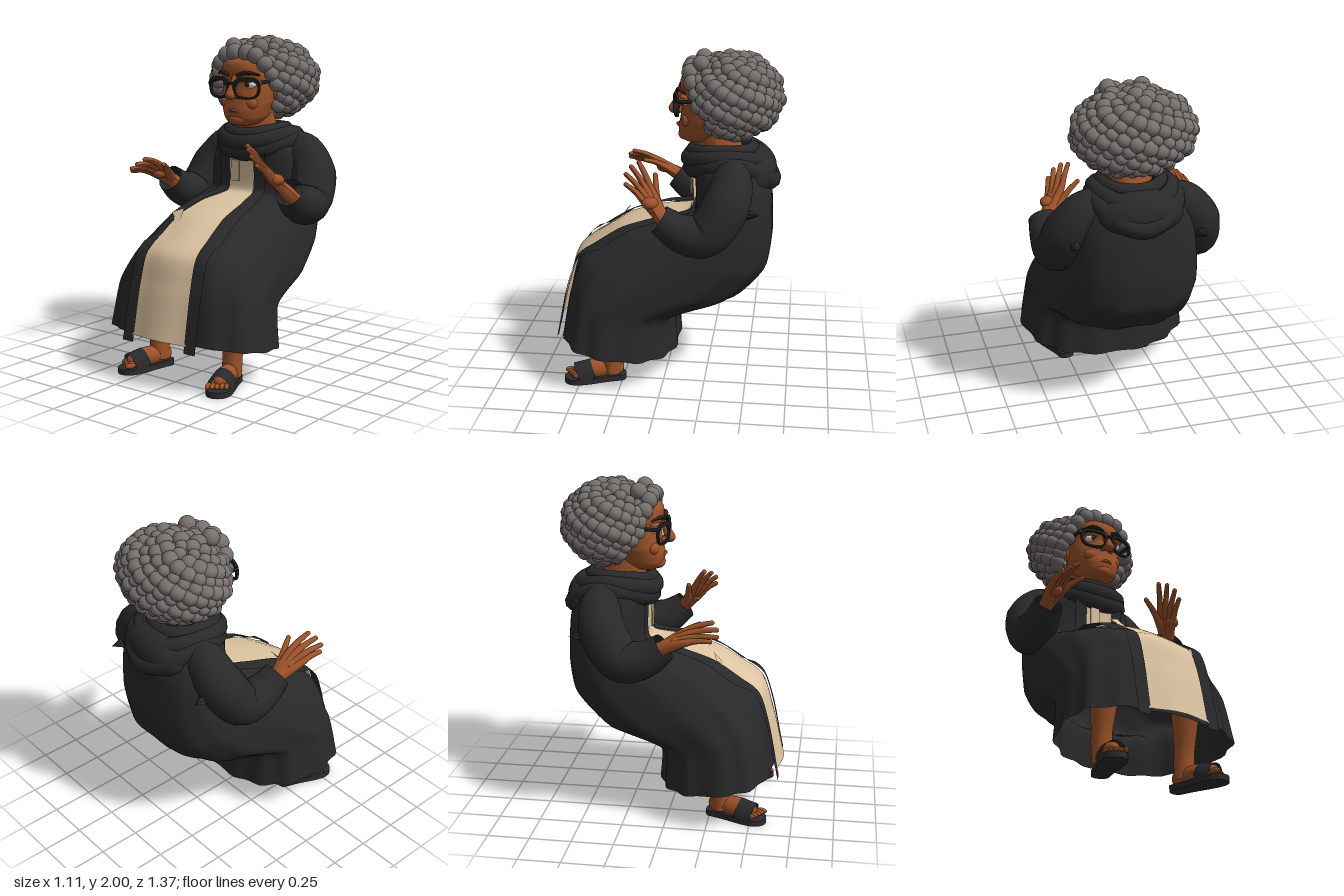
import * as THREE from 'three';

const V = (x, y, z) => new THREE.Vector3(x, y, z);
const mat = (name, color, double) => {
  const m = new THREE.MeshStandardMaterial({ color });
  m.name = name;
  if (double) m.side = THREE.DoubleSide;
  return m;
};

// Point on a lofted body: each section is [frontZ, frontY, backZ, backY, halfWidth, widthBias]
function loftSurface(sections, n, ripple = 0) {
  const curve = f => new THREE.CatmullRomCurve3(sections.map(f), false, 'catmullrom', 0.3);
  const front = curve(s => V(0, s[1], s[0])), back = curve(s => V(0, s[3], s[2]));
  const size = curve(s => V(s[4], s[5] || 0, 0));
  const pw = v => Math.sign(v) * Math.pow(Math.abs(v), 2 / n);
  return (u, t) => {
    const f = front.getPoint(u), b = back.getPoint(u), w = size.getPoint(u);
    const fold = 1 + ripple * Math.pow(1 - u, 2) * Math.cos(13 * t);
    const p = f.clone().add(b).multiplyScalar(0.5);
    p.addScaledVector(f.sub(b), 0.5 * fold * pw(Math.cos(t)));
    p.x = w.x * fold * pw(Math.sin(t)) * (1 + w.y * Math.cos(t));
    return p;
  };
}

// Grid of points turned into an indexed surface
function gridGeometry(rows, cols, fn, wrap) {
  const pos = [], idx = [], n = wrap ? cols : cols + 1;
  for (let j = 0; j <= rows; j++) for (let i = 0; i < n; i++) pos.push(...fn(j / rows, i / cols).toArray());
  for (let j = 0; j < rows; j++) for (let i = 0; i < cols; i++) {
    const a = j * n + i, b = j * n + (i + 1) % n;
    idx.push(a, b, b + n, a, b + n, a + n);
  }
  const g = new THREE.BufferGeometry();
  g.setAttribute('position', new THREE.Float32BufferAttribute(pos, 3));
  g.setIndex(idx);
  g.computeVertexNormals();
  return g;
}

// Tube whose radius follows a list of values along its path
function taperTube(points, radii, segs = 14, sides = 10, closed = false) {
  const curve = new THREE.CatmullRomCurve3(points, closed);
  const g = new THREE.TubeGeometry(curve, segs, 1, sides, closed), p = g.attributes.position;
  for (let i = 0; i < p.count; i++) {
    const u = Math.floor(i / (sides + 1)) / segs, k = u * (radii.length - 1);
    const a = Math.min(Math.floor(k), radii.length - 1), b = Math.min(a + 1, radii.length - 1);
    const r = THREE.MathUtils.lerp(radii[a], radii[b], k - a);
    const c = curve.getPointAt(u), v = V().fromBufferAttribute(p, i).sub(c).multiplyScalar(r).add(c);
    p.setXYZ(i, v.x, v.y, v.z);
  }
  g.computeVertexNormals();
  return g;
}

export function createModel() {
  const root = new THREE.Group();
  root.name = 'seatedWoman';
  const robe = mat('robe black', 0x29292b, true), cloth = mat('dress cream', 0xdcc3a0, true);
  const skin = mat('skin brown', 0x9c5229), hair = mat('hair grey', 0x77716e), lip = mat('lip brown', 0x8a4426);
  const frame = mat('glasses black', 0x1b2024), sandal = mat('sandal black', 0x2c2c30);
  const white = mat('eye white', 0xe4e0da), dark = mat('brow brown', 0x35251f);
  const add = (name, geo, m, parent = root) => {
    const mesh = new THREE.Mesh(geo, m);
    mesh.name = name;
    parent.add(mesh);
    return mesh;
  };
  const ball = (name, m, x, y, z, rx, ry = rx, rz = rx, parent = root, seg = 16) => {
    const b = add(name, new THREE.SphereGeometry(1, seg, Math.ceil(seg * 0.7)), m, parent);
    b.position.set(x, y, z);
    b.scale.set(rx, ry, rz);
    return b;
  };

  // Robe from hem over the knees and lap up to the neck
  const body = loftSurface([
    [0.63, 0.29, -0.07, 0.17, 0.52, 0.16], [0.58, 0.58, -0.08, 0.41, 0.49, 0.12],
    [0.52, 0.76, -0.43, 0.53, 0.46, 0.06], [0.27, 0.93, -0.6, 0.71, 0.42],
    [0.03, 1.0, -0.635, 0.9, 0.39], [-0.16, 1.04, -0.63, 1.08, 0.36],
    [-0.17, 1.2, -0.62, 1.2, 0.34], [-0.16, 1.32, -0.58, 1.34, 0.29], [-0.17, 1.42, -0.48, 1.45, 0.14]], 2.5, 0.025);
  add('robe', gridGeometry(48, 72, (u, t) => body(u, t * Math.PI * 2), true), robe);

  // Strips lying on the robe front: cream dress and the robe's two open edges
  const halfWidths = [0.2, 0.195, 0.19, 0.175, 0.155, 0.1, 0.1, 0.1, 0.1];
  const widthAt = u => {
    const k = u * 8, a = Math.min(7, Math.floor(k));
    return THREE.MathUtils.lerp(halfWidths[a], halfWidths[a + 1], k - a);
  };
  const strip = (x0, x1, top, lift, drop) => gridGeometry(40, 10, (v, i) => {
    const u = v * top, x = widthAt(u) * 1 + 0, px = x0(x) + (x1(x) - x0(x)) * i;
    const s = Math.pow(Math.min(1, Math.abs(px) / (u < 0.3 ? 0.54 : 0.4)), 1.25);
    const p = body(u, Math.sign(px) * Math.asin(s)), hem = Math.max(0, 1 - v * 6);
    return V(px, p.y + lift - hem * drop, p.z + lift + hem * 0.025);
  });
  add('dressPanel', strip(w => -w, w => w, 0.82, 0.014, 0.012), cloth);
  add('robeEdgeLeft', strip(w => w - 0.01, w => w + 0.07, 0.86, 0.022, 0.06), robe);
  add('robeEdgeRight', strip(w => -w - 0.07, w => 0.01 - w, 0.86, 0.022, 0.06), robe);
  const flap = new THREE.Shape([[-0.13, 0], [-0.205, -0.04], [-0.17, -0.07], [-0.16, -0.12], [-0.11, -0.12]].map(p => new THREE.Vector2(...p)));
  const fold = add('dressFold', new THREE.ShapeGeometry(flap), cloth);
  fold.position.set(0, 0.99, 0.25);
  fold.rotation.x = -0.7;
  const tie = add('neckTie', new THREE.BoxGeometry(0.06, 0.13, 0.008), cloth);
  tie.position.set(-0.04, 1.18, -0.135);

  // Draped cowl and the hood lying on the back: [frontY, frontZ, sideX, sideY, backY, backZ, radius]
  [[1.4, -0.15, 0.17, 1.43, 1.42, -0.5, 0.045], [1.355, -0.13, 0.215, 1.4, 1.36, -0.57, 0.055],
    [1.3, -0.15, 0.235, 1.37, 1.24, -0.615, 0.06]].forEach(([fy, fz, sx, sy, by, bz, r]) => {
    const zm = (fz + bz) / 2, pts = [];
    for (let i = 0; i < 12; i++) {
      const t = i / 12 * Math.PI * 2, c = Math.cos(t), e = c > 0 ? fy : by;
      pts.push(V(sx * Math.sin(t), sy + (e - sy) * c * c, zm + (fz - zm) * c));
    }
    add('cowlFold', taperTube(pts, [r, r], 48, 10, true), robe);
  });
  ball('hood', robe, 0, 1.29, -0.52, 0.25, 0.15, 0.13, root, 24);

  // Arms, hands, legs and sandals
  const fingers = {
    '-1': { wrist: V(-0.46, 1.1, -0.02), paths: [
      [-0.51, 1.16, 0.12, -0.52, 1.18, 0.27], [-0.485, 1.18, 0.14, -0.495, 1.2, 0.305],
      [-0.455, 1.2, 0.14, -0.455, 1.23, 0.3], [-0.425, 1.21, 0.13, -0.42, 1.26, 0.27],
      [-0.405, 1.17, 0.08, -0.34, 1.225, 0.19]] },
    '1': { wrist: V(0.43, 1.1, -0.02), paths: [
      [0.39, 1.2, 0.1, 0.365, 1.28, 0.2], [0.365, 1.23, 0.1, 0.33, 1.33, 0.205],
      [0.34, 1.25, 0.09, 0.29, 1.365, 0.18], [0.315, 1.26, 0.07, 0.255, 1.38, 0.14],
      [0.33, 1.19, 0.03, 0.22, 1.3, 0.05]] }
  };
  for (const s of [1, -1]) {
    const side = s > 0 ? 'left' : 'right';
    add(side + 'Sleeve', taperTube([V(s * 0.14, 1.35, -0.38), V(s * 0.28, 1.3, -0.4), V(s * 0.38, 1.17, -0.37),
      V(s * 0.425, 1.01, -0.25), V(s * 0.44, 1.03, -0.12), V(s * 0.45, 1.11, 0.0)],
    [0.07, 0.12, 0.14, 0.135, 0.115, 0.085], 30, 16), robe);
    const spike = add(side + 'SleeveFold', new THREE.ConeGeometry(0.09, 0.2, 6), robe);
    spike.position.set(s * 0.37, 1.13, -0.47);
    spike.rotation.set(-Math.PI / 2, 0, -s * 0.15);

    const hand = new THREE.Group(), { wrist, paths } = fingers[s];
    hand.name = side + 'Hand';
    root.add(hand);
    paths.forEach(([kx, ky, kz, tx, ty, tz], i) => {
      const k = V(kx, ky, kz), tip = V(tx, ty, tz), mid = k.clone().lerp(tip, 0.5).add(V(0, 0.008, 0));
      add(i === 4 ? 'thumb' : 'finger', taperTube([wrist, k, mid, tip], [0.042, 0.03, 0.019, 0.014], 16, 8), skin, hand);
      ball('fingertip', skin, tx, ty, tz, 0.0145, 0.0145, 0.0145, hand, 8);
    });
    const pc = wrist.clone().lerp(V(paths[1][0], paths[1][1], paths[1][2]), 0.65);
    ball('palm', skin, pc.x + 0.012, pc.y, pc.z, 0.05, 0.036, 0.05, hand);
    add('wrist', taperTube([V(s * 0.44, 1.04, -0.1), wrist, pc], [0.045, 0.044, 0.03], 8, 10), skin, hand);

    add(side + 'Leg', taperTube([V(s * 0.27, 0.62, 0.36), V(s * 0.28, 0.35, 0.33), V(s * 0.28, 0.18, 0.315), V(s * 0.275, 0.05, 0.32)],
      [0.1, 0.08, 0.06, 0.06], 14, 14), skin);
    const foot = new THREE.Group();
    foot.name = side + 'Foot';
    foot.position.set(s * 0.25, 0, 0.24);
    foot.rotation.y = s * 0.29;
    root.add(foot);
    const outline = new THREE.Shape();
    outline.moveTo(-0.05, 0.03);
    outline.bezierCurveTo(-0.05, -0.02, 0.05, -0.02, 0.05, 0.03);
    outline.bezierCurveTo(0.05, 0.14, 0.075, 0.2, 0.073, 0.29);
    outline.bezierCurveTo(0.07, 0.4, -0.07, 0.4, -0.073, 0.29);
    outline.bezierCurveTo(-0.075, 0.2, -0.05, 0.14, -0.05, 0.03);
    const sole = add('sole', new THREE.ExtrudeGeometry(outline, { depth: 0.035, bevelEnabled: false, curveSegments: 10 }), sandal, foot);
    sole.rotation.x = Math.PI / 2;
    sole.position.y = 0.035;
    ball('heel', skin, 0, 0.075, 0.06, 0.045, 0.055, 0.055, foot);
    ball('instep', skin, 0, 0.075, 0.17, 0.055, 0.06, 0.15, foot);
    for (let i = 0; i < 5; i++)
      ball('toe', skin, s * (i - 2) * 0.025, 0.055, 0.325 - i * 0.009, 0.016 - i * 0.001, 0.018, 0.038, foot, 10);
    const strap = add('strap', new THREE.CylinderGeometry(0.074, 0.07, 0.1, 20, 1, true, Math.PI / 2, Math.PI), robe, foot);
    strap.rotation.set(Math.PI / 2, 0, 0);
    strap.rotation.x = Math.PI / 2 + 0.25;
    strap.scale.z = 1.35;
    strap.position.set(0, 0.03, 0.24);
  }

  // Head and neck
  add('neck', taperTube([V(0, 1.34, -0.34), V(0, 1.45, -0.3), V(0, 1.56, -0.28)], [0.13, 0.125, 0.12], 8, 20), skin);
  const face = loftSurface([[-0.17, 1.452, -0.2, 1.46, 0.01], [-0.1, 1.465, -0.28, 1.475, 0.085], [-0.072, 1.5, -0.34, 1.52, 0.125],
    [-0.062, 1.55, -0.38, 1.57, 0.145], [-0.072, 1.6, -0.4, 1.6, 0.162], [-0.082, 1.66, -0.42, 1.66, 0.172],
    [-0.09, 1.72, -0.42, 1.72, 0.172], [-0.07, 1.78, -0.42, 1.78, 0.168], [-0.085, 1.85, -0.42, 1.85, 0.15], [-0.25, 1.93, -0.35, 1.93, 0.03]], 2.3);
  add('face', gridGeometry(40, 40, (u, t) => face(u, t * Math.PI * 2), true), skin);
  add('noseBridge', taperTube([V(0, 1.765, -0.085), V(0, 1.71, -0.06), V(0, 1.655, -0.035)], [0.018, 0.022, 0.032], 10, 10), skin);
  ball('noseTip', skin, 0, 1.65, -0.035, 0.033, 0.03, 0.034);
  add('mouth', taperTube([V(-0.055, 1.545, -0.078), V(0, 1.558, -0.058), V(0.055, 1.545, -0.078)], [0.004, 0.011, 0.004], 12, 8), lip);
  ball('chin', skin, 0, 1.5, -0.1, 0.065, 0.037, 0.04);

  // Paired face details and glasses
  for (const s of [1, -1]) {
    ball('nostril', skin, s * 0.03, 1.643, -0.06, 0.02, 0.018, 0.024);
    ball('cheek', skin, s * 0.085, 1.6, -0.125, 0.05, 0.045, 0.04);
    ball('ear', skin, s * 0.18, 1.65, -0.27, 0.018, 0.055, 0.035);
    ball('earring', white, s * 0.185, 1.585, -0.27, 0.012);
    ball('eyeball', white, s * 0.088, 1.715, -0.115, 0.04, 0.026, 0.03);
    ball('iris', dark, s * 0.084, 1.715, -0.088, 0.016, 0.017, 0.006);
    ball('eyelid', skin, s * 0.088, 1.74, -0.112, 0.047, 0.016, 0.036);
    add('eyebrow', taperTube([V(s * 0.025, 1.765, -0.064), V(s * 0.09, 1.785, -0.072), V(s * 0.155, 1.77, -0.12)], [0.012, 0.012, 0.005], 12, 8), dark);

    const ring = (w, h, lift) => Array.from({ length: 32 }, (_, i) => {
      const t = i / 32 * Math.PI * 2, c = Math.cos(t), d = Math.sin(t);
      const y = Math.sign(d) * Math.pow(Math.abs(d), 0.75) * h;
      return new THREE.Vector2(Math.sign(c) * Math.pow(Math.abs(c), 0.75) * w * (1 + y * 1.2), y + lift);
    });
    const rim = new THREE.Shape(ring(0.088, 0.066, 0));
    rim.holes.push(new THREE.Path(ring(0.073, 0.048, -0.004)));
    const g = add('glassesRim', new THREE.ExtrudeGeometry(rim, { depth: 0.016, bevelEnabled: false }), frame);
    g.position.set(s * 0.1, 1.692, -0.065);
    g.rotation.y = s * 0.24;
    add('glassesTemple', taperTube([V(s * 0.185, 1.73, -0.08), V(s * 0.188, 1.73, -0.2), V(s * 0.185, 1.71, -0.3)], [0.012, 0.009], 10, 8), frame);
  }
  add('glassesBridge', taperTube([V(-0.03, 1.71, -0.045), V(0, 1.722, -0.034), V(0.03, 1.71, -0.045)], [0.009, 0.009], 8, 8), frame);

  // Curly hair: a core covered with evenly spread curls, open around the face
  const curls = new THREE.Group();
  curls.name = 'hair';
  root.add(curls);
  ball('hairCore', hair, 0, 1.74, -0.42, 0.31, 0.215, 0.225, curls, 32);
  const count = 230;
  for (let i = 0; i < count; i++) {
    const y = 1 - 2 * (i + 0.5) / count, r = Math.sqrt(1 - y * y), a = i * 2.39996;
    const px = 0.325 * r * Math.cos(a), py = 1.735 + 0.222 * y, pz = -0.385 + 0.258 * r * Math.sin(a);
    if (py < 1.86 - 0.25 * Math.abs(px) && Math.abs(px) < 0.18 && pz > -0.32) continue;
    if (py < 1.8 && pz > -0.14 - (1.8 - py) * 0.6) continue;
    const k = 0.044 + 0.008 * Math.sin(i * 7.3);
    ball('curl', hair, px, py, pz, k, k * 0.92, k, curls, 12);
  }
  for (const s of [1, -1])
    [[0.045, 1.9, -0.14, 0.055], [0.11, 1.885, -0.14, 0.052], [0.165, 1.835, -0.155, 0.05], [0.2, 1.775, -0.18, 0.045],
      [0.215, 1.71, -0.215, 0.042], [0.225, 1.64, -0.26, 0.042], [0.22, 1.575, -0.31, 0.042], [0.1, 1.935, -0.2, 0.052]].forEach(([x, y, z, r]) =>
      ball('frontCurl', hair, s * x, y, z, r, r, r, curls, 14));
  return root;
}
